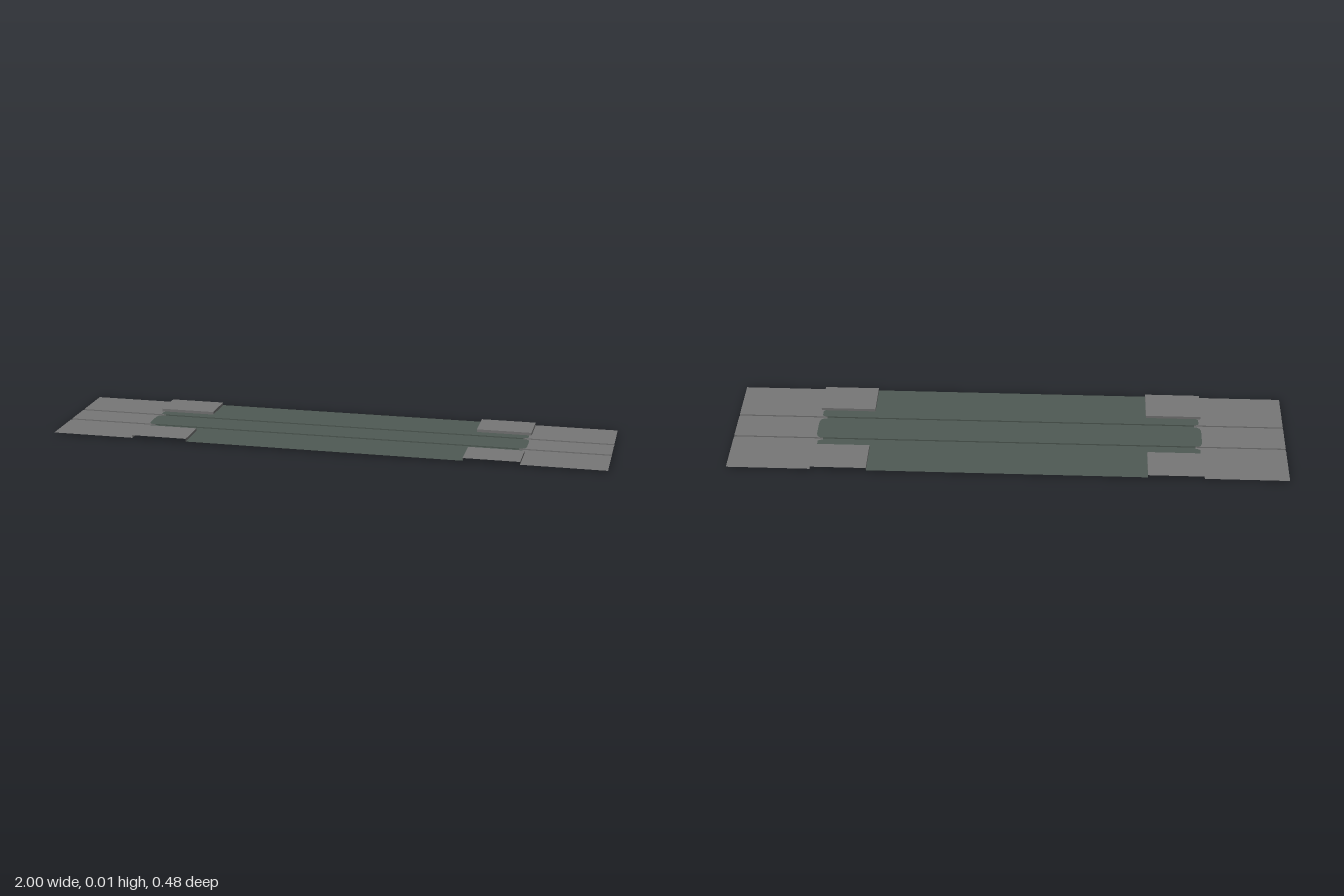
import * as THREE from 'three';

const DECK_Y = 0.005, PAD_Y = 0.015, HALF_W = 0.238;
const PAD_IN = 0.107, PAD_X0 = 0.5, PAD_X1 = 0.7;
const GROOVE_A = 0.056, GROOVE_B = 0.069, GROOVE_X = 0.675;

export function createModel() {
  const group = new THREE.Group();
  const concrete = new THREE.MeshStandardMaterial({ color: 0x777777, side: THREE.DoubleSide });
  concrete.name = 'concrete grey';
  const road = new THREE.MeshStandardMaterial({ color: 0x4f5a54, side: THREE.DoubleSide });
  road.name = 'dark green grey';

  // Flat plate from [x, z] corners, facing up
  function plate(name, corners, y, material, sx, sz) {
    const shape = new THREE.Shape(corners.map(([x, z]) => new THREE.Vector2(x * sx, -z * sz)));
    const mesh = new THREE.Mesh(new THREE.ShapeGeometry(shape).rotateX(-Math.PI / 2), material);
    mesh.position.y = y;
    mesh.name = name;
    group.add(mesh);
  }

  // Upright strip between two [x, z] points
  function wall(name, [x0, z0], [x1, z1], y0, y1, material, sx, sz) {
    const geometry = new THREE.PlaneGeometry(Math.hypot(x1 - x0, z1 - z0), y1 - y0);
    const mesh = new THREE.Mesh(geometry, material);
    mesh.rotation.y = x0 === x1 ? sx * Math.PI / 2 : (sz > 0 ? 0 : Math.PI);
    mesh.position.set(sx * (x0 + x1) / 2, (y0 + y1) / 2, sz * (z0 + z1) / 2);
    mesh.name = name;
    group.add(mesh);
  }

  // Rounded ends of the dark surface, shared with the grey ends
  const middleEnd = [[0.7, 0], [0.7, 0.035], [0.695, 0.05], [0.685, GROOVE_A]];
  const grooveEnd = [[GROOVE_X, GROOVE_A], [GROOVE_X, GROOVE_B]];
  const sideEnd = [[0.68, GROOVE_B], [0.692, 0.075], [0.692, 0.1], [0.687, PAD_IN]];

  for (const sx of [-1, 1]) for (const sz of [-1, 1]) {
    // Lanes, each split into a dark middle and a grey end
    const lanes = [
      ['middleLane', middleEnd, 0, GROOVE_A, DECK_Y],
      ['grooveFloor', grooveEnd, GROOVE_A, GROOVE_B, 0],
      ['sideLane', sideEnd, GROOVE_B, PAD_IN, DECK_Y],
    ];
    for (const [name, end, z0, z1, y] of lanes) {
      plate(name + 'Dark', [[0, z0], ...end, [0, z1]], y, road, sx, sz);
      plate(name + 'End', [...end, [1, z1], [1, z0]], y, concrete, sx, sz);
    }

    // Outer margin on both sides of the raised pad
    plate('outerDeck', [[0, PAD_IN], [PAD_X0, PAD_IN], [PAD_X0, HALF_W], [0, HALF_W]], DECK_Y, road, sx, sz);
    plate('outerEnd', [[PAD_X1, PAD_IN], [1, PAD_IN], [1, HALF_W], [PAD_X1, HALF_W]], DECK_Y, concrete, sx, sz);

    // Groove sides
    for (const z of [GROOVE_A, GROOVE_B]) {
      wall('grooveSideDark', [0, z], [GROOVE_X, z], 0, DECK_Y, road, sx, sz);
      wall('grooveSideEnd', [GROOVE_X, z], [1, z], 0, DECK_Y, concrete, sx, sz);
    }

    // Raised pad, open at the outer edge and underneath
    plate('padTop', [[PAD_X0, PAD_IN], [PAD_X1, PAD_IN], [PAD_X1, HALF_W], [PAD_X0, HALF_W]], PAD_Y, concrete, sx, sz);
    wall('padInnerSide', [PAD_X0, PAD_IN], [PAD_X1, PAD_IN], DECK_Y, PAD_Y, concrete, sx, sz);
    for (const x of [PAD_X0, PAD_X1]) {
      wall('padEnd', [x, PAD_IN], [x, HALF_W], DECK_Y, PAD_Y, concrete, sx, sz);
    }
  }
  return group;
}
